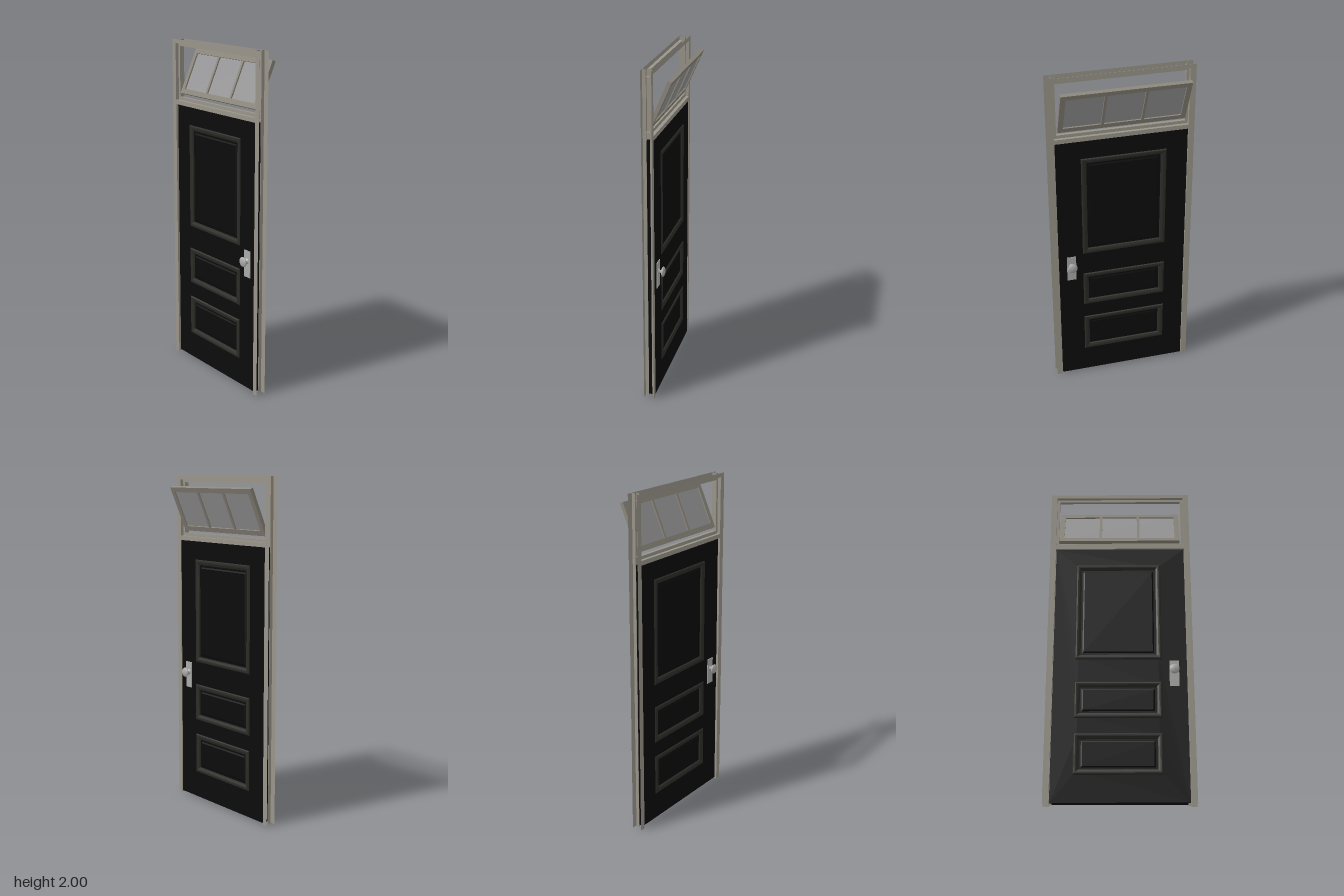
import * as THREE from 'three';

const mat = (color, side = THREE.FrontSide) =>
  new THREE.MeshStandardMaterial({ color, side, roughness: 0.7 });
const STEEL = mat(0x99958a, THREE.DoubleSide);
const SASH = mat(0x8c877c);
const BLACK = mat(0x0b0b0b);
const MOULD = mat(0x2b2b27);
const GLASS = mat(0x98989a);
const METAL = mat(0xaaaaa8);

function add(parent, name, geometry, material) {
  const mesh = new THREE.Mesh(geometry, material);
  mesh.name = name;
  parent.add(mesh);
  return mesh;
}

// Flat-shaded geometry from a list of quads, each of four [x, y, z] corners
function quads(list) {
  const pos = [];
  for (const [a, b, c, d] of list) pos.push(...a, ...b, ...c, ...a, ...c, ...d);
  const g = new THREE.BufferGeometry();
  g.setAttribute('position', new THREE.Float32BufferAttribute(pos, 3));
  g.computeVertexNormals();
  return g;
}

// Bent sheet: a profile swept between two ends; place(a, b, t) gives a point
function sheet(profile, t0, t1, place) {
  const list = [];
  for (let i = 0; i + 1 < profile.length; i++) {
    const [p, q] = [profile[i], profile[i + 1]];
    list.push([place(...p, t0), place(...q, t0), place(...q, t1), place(...p, t1)]);
  }
  return quads(list);
}

function rect(cx, cy, w, h, Type = THREE.Path) {
  return new Type().moveTo(cx - w / 2, cy - h / 2).lineTo(cx + w / 2, cy - h / 2)
    .lineTo(cx + w / 2, cy + h / 2).lineTo(cx - w / 2, cy + h / 2).closePath();
}

// Board with rectangular holes, lying in the zy plane, from x = 0 to depth
function board(outline, holes, depth) {
  outline.holes = holes;
  return new THREE.ExtrudeGeometry(outline, { depth, bevelEnabled: false }).rotateY(Math.PI / 2);
}

// Nested rectangles facing +x; steps are [inset, x]
function nested(w, h, steps, cap) {
  const loops = steps.map(([inset, x]) => {
    const a = w / 2 - inset, b = h / 2 - inset;
    return [[x, -b, a], [x, -b, -a], [x, b, -a], [x, b, a]];
  });
  const list = [];
  for (let i = 0; i + 1 < loops.length; i++)
    for (let k = 0; k < 4; k++) {
      const n = (k + 1) % 4;
      list.push([loops[i][k], loops[i][n], loops[i + 1][n], loops[i + 1][k]]);
    }
  if (cap) list.push(loops[loops.length - 1]);
  return quads(list);
}

function createFrame() {
  const frame = new THREE.Group();
  frame.name = 'frame';
  // Channel profile: front face, rabbet, stop, rabbet, back face
  const channel = (outer, web, stop) => [
    [-0.005, outer], [-0.005, web], [-0.025, web], [-0.025, stop],
    [-0.045, stop], [-0.045, web], [-0.065, web], [-0.065, outer]];
  for (const s of [1, -1])
    add(frame, s > 0 ? 'leftJamb' : 'rightJamb',
      sheet(channel(0.428, 0.393, 0.377), 0, 2, (x, z, y) => [x, y, z * s]), STEEL);
  const across = (x, y, z) => [x, y, z];
  add(frame, 'header', sheet(channel(2, 1.976, 1.96), -0.393, 0.393, across), STEEL);
  const bar = channel(1.61, 1.636, 1.655);
  add(frame, 'transomBar', sheet([...bar, bar[0]], -0.393, 0.393, across), STEEL);
  return frame;
}

function createKnob() {
  const knob = new THREE.Group();
  const plate = add(knob, 'knobPlate', new THREE.BoxGeometry(0.004, 0.16, 0.056), METAL);
  plate.position.set(0.025, -0.017, 0);
  const profile = [[0.018, 0], [0.017, 0.004], [0.009, 0.008], [0.009, 0.016], [0.02, 0.02],
    [0.028, 0.025], [0.03, 0.029], [0.027, 0.034], [0.016, 0.038], [0, 0.04]]
    .map(([r, y]) => new THREE.Vector2(r, y));
  const grip = add(knob, 'knob', new THREE.LatheGeometry(profile, 32), METAL);
  grip.rotation.z = -Math.PI / 2;
  grip.position.x = 0.026;
  return knob;
}

function createDoor() {
  const door = new THREE.Group();
  door.name = 'door';
  door.position.x = -0.03;
  const panels = [[1.185, 0.63], [0.618, 0.225], [0.292, 0.245]]; // centre y, height
  const width = 0.51, cz = -0.01;

  const slab = board(rect(0, 0.81, 0.78, 1.6, THREE.Shape),
    panels.map(([y, h]) => rect(-cz, y, width - 0.04, h - 0.04)), 0.046);
  add(door, 'slab', slab.translate(-0.023, 0, 0), BLACK);

  // Same mouldings, panels and knob on both faces
  for (const turn of [0, Math.PI]) {
    for (const [y, h] of panels) {
      const panel = new THREE.Group();
      panel.name = 'panel';
      panel.position.set(0, y, cz);
      panel.rotation.y = turn;
      add(panel, 'panelMoulding', nested(width, h,
        [[0, 0.023], [0.005, 0.029], [0.012, 0.03], [0.02, 0.029], [0.03, 0.024], [0.034, 0.016]]), MOULD);
      add(panel, 'panelField', nested(width, h,
        [[0.034, 0.016], [0.044, 0.016], [0.052, 0.02]], true), BLACK);
      door.add(panel);
    }
    const knob = createKnob();
    knob.name = turn ? 'backKnob' : 'frontKnob';
    knob.position.set(0, 0.797, 0.316);
    knob.rotation.y = turn;
    door.add(knob);
  }
  return door;
}

// Three-light sash hinged at the bottom and tilted open
function createTransom() {
  const sash = new THREE.Group();
  sash.name = 'transomSash';
  const h = 0.284;
  const holes = [-1, 0, 1].map(i => rect(i * 0.234, h / 2, 0.218, h - 0.06));
  add(sash, 'sashFrame',
    board(rect(0, h / 2, 0.746, h, THREE.Shape), holes, 0.022).translate(-0.022, 0, 0), SASH);
  add(sash, 'glass', new THREE.BoxGeometry(0.006, h - 0.05, 0.7), GLASS)
    .position.set(-0.011, h / 2, 0);
  sash.position.set(-0.024, 1.67, -0.003);
  sash.rotation.z = -0.413;
  return sash;
}

export function createModel() {
  const model = new THREE.Group();
  model.name = 'doorWithTransom';
  model.add(createFrame(), createDoor(), createTransom());
  return model;
}
